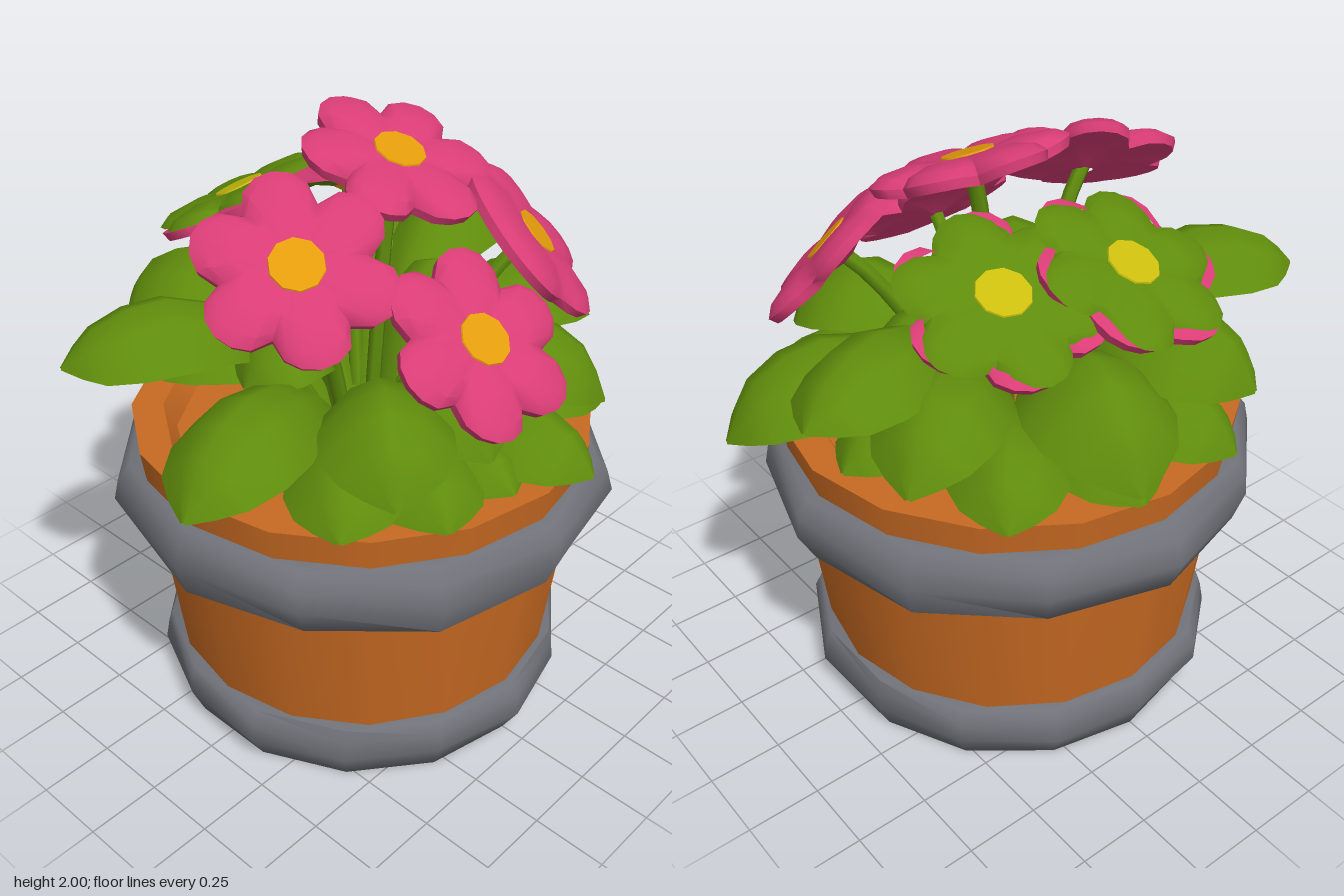
import * as THREE from 'three';
import { toCreasedNormals } from 'three/addons/utils/BufferGeometryUtils.js';

const mat = (name, color, side = THREE.FrontSide) => {
  const m = new THREE.MeshStandardMaterial({ color, side });
  m.name = name;
  return m;
};

// Lathe from [radius, y] pairs, with a rule that moves each vertex
function lathe(points, segments, crease, rule) {
  const geo = new THREE.LatheGeometry(points.map(([r, y]) => new THREE.Vector2(r, y)), segments);
  if (rule) {
    const p = geo.attributes.position;
    const v = new THREE.Vector3();
    for (let i = 0; i < p.count; i++) {
      v.fromBufferAttribute(p, i);
      rule(v, Math.atan2(v.x, v.z), Math.hypot(v.x, v.z));
      p.setXYZ(i, v.x, v.y, v.z);
    }
  }
  return toCreasedNormals(geo, crease);
}

// Arched leaf: a midrib curve with a strongly drooping cross-section
function leafGeometry([tx, ty, tz, peak, half]) {
  const reach = Math.hypot(tx, tz);
  const dir = new THREE.Vector3(tx / reach, 0, tz / reach);
  const side = new THREE.Vector3(-dir.z, 0, dir.x);
  const at = (r, y) => dir.clone().multiplyScalar(r).setY(y);
  const rib = new THREE.CatmullRomCurve3([
    at(0.08, 0.97), at(reach * 0.36, 0.97 + (peak - 0.97) * 0.76), at(reach * 0.65, peak),
    at(reach * 0.89, ty + (peak - ty) * 0.66), at(reach, ty),
  ]);
  const widths = [0.2, 0.28, 0.5, 0.82, 1, 0.96, 0.74, 0.42, 0.04];
  const rows = widths.length - 1, cols = 4;
  const pos = [], idx = [];
  for (let i = 0; i <= rows; i++) {
    const c = rib.getPoint(i / rows);
    for (let j = 0; j <= cols; j++) {
      const s = (j / cols) * 2 - 1;
      const w = s * half * widths[i];
      pos.push(c.x + side.x * w, c.y - 0.75 * Math.abs(w * s), c.z + side.z * w);
      if (i < rows && j < cols) {
        const a = i * (cols + 1) + j, b = a + cols + 1;
        idx.push(a, a + 1, b, a + 1, b + 1, b);
      }
    }
  }
  const geo = new THREE.BufferGeometry();
  geo.setAttribute('position', new THREE.Float32BufferAttribute(pos, 3));
  geo.setIndex(idx);
  geo.computeVertexNormals();
  return geo;
}

export function createModel() {
  const model = new THREE.Group();
  model.name = 'pottedFlowers';
  const clay = mat('terracotta', 0xc86a22);
  const grey = mat('grey', 0x707279);
  const green = mat('leafGreen', 0x5f8c0c, THREE.DoubleSide);
  const pink = mat('petalPink', 0xd93d75);
  const orange = mat('centreOrange', 0xe39c0c);
  const yellow = mat('centreYellow', 0xccbd0e);

  const add = (parent, name, geo, material) => {
    const m = new THREE.Mesh(geo, material);
    m.name = name;
    parent.add(m);
    return m;
  };

  // Pot with thick rim and soil floor
  add(model, 'pot', lathe([[0.001, 0.03], [0.63, 0.03], [0.66, 0.22], [0.72, 0.72], [0.765, 1.055],
    [0.66, 1.055], [0.62, 0.97], [0.001, 0.97]], 16, 0.6), clay);

  // Slightly lumpy bands
  const lumpy = (v, a, r) => {
    const k = r > 0.7 ? 1 + 0.012 * Math.sin(5 * a + 14 * v.y) : 1;
    v.x *= k;
    v.z *= k;
  };
  add(model, 'upperBand', lathe([[0.69, 0.72], [0.79, 0.72], [0.835, 0.83], [0.82, 0.9],
    [0.785, 0.95], [0.69, 0.95]], 12, 1.2, lumpy), grey);
  add(model, 'saucer', lathe([[0.001, 0.01], [0.665, 0.01], [0.715, 0.11], [0.71, 0.18],
    [0.69, 0.225], [0.6, 0.225]], 14, 1.3, lumpy), grey);

  // Leaves: tip x, y, z, peak height, half width
  const leaves = [
    // tall outer leaves
    [-0.94, 1.17, 0.2, 1.4, 0.21], [-0.88, 1.4, -0.4, 1.56, 0.2],
    [0.94, 1.13, 0.2, 1.4, 0.22], [0.92, 1.4, -0.26, 1.56, 0.2],
    [-0.32, 1.3, -0.78, 1.52, 0.23], [0.2, 1.19, -0.85, 1.48, 0.23],
    [0.74, 1.22, -0.48, 1.46, 0.2], [0.4, 1.17, 0.68, 1.43, 0.21],
    [-0.5, 1.17, 0.6, 1.41, 0.21], [-0.1, 1.15, 0.62, 1.36, 0.18],
    // short inner leaves
    [0.5, 1.3, 0.02, 1.46, 0.16], [-0.48, 1.3, -0.04, 1.46, 0.16],
    // low leaves bending over the rim
    [-0.63, 1.08, 0.5, 1.25, 0.19], [-0.36, 1.06, 0.68, 1.23, 0.19],
    [0.17, 1.05, 0.81, 1.23, 0.19], [0.57, 1.05, 0.57, 1.24, 0.19],
    [-0.08, 1.06, 0.7, 1.19, 0.16], [-0.68, 1.08, -0.1, 1.23, 0.15],
    [-0.3, 1.06, -0.75, 1.26, 0.2], [0.5, 1.06, -0.62, 1.25, 0.19],
    [0.1, 1.06, -0.76, 1.22, 0.18], [0.72, 1.08, -0.1, 1.24, 0.17],
  ];
  leaves.forEach((l) => add(model, 'leaf', leafGeometry(l), green));

  // Flowers: centre, facing direction, petal count, spin, back-row flag
  const flowers = [
    [[-0.42, 1.75, 0.14], [-0.36, 0.75, 0.5], 6, 0.52, false],
    [[0.13, 1.9, 0.03], [0.03, 0.92, 0.36], 6, 0, false],
    [[0.46, 1.61, 0.32], [0.48, 0.66, 0.56], 5, 0.89, false],
    [[-0.08, 1.53, 0.55], [-0.03, 0.74, 0.66], 6, 0.52, false],
    [[-0.06, 1.69, -0.49], [-0.12, 0.9, -0.45], 6, 0.5, true],
    [[0.34, 1.69, -0.4], [0.12, 0.9, -0.42], 6, 0.2, true],
  ];
  const R = 0.31;
  flowers.forEach(([c, n, count, spin, back]) => {
    const centre = new THREE.Vector3(...c);
    const normal = new THREE.Vector3(...n).normalize();
    const flower = new THREE.Group();
    flower.name = 'flower';
    flower.position.copy(centre);
    flower.quaternion.setFromUnitVectors(new THREE.Vector3(0, 1, 0), normal);
    model.add(flower);

    // Broad petals with sharp notches and shallow valleys between them
    const part = (name, profile, material, turn) =>
      add(flower, name, lathe(profile, count * 6, 0.8, (v, a, r) => {
        const t = Math.min(1, r / R);
        const lobe = Math.pow(Math.abs(Math.cos(count * (a + turn) / 2)), 0.6);
        const k = 1 - 0.3 * (1 - lobe) * t;
        v.x *= k;
        v.z *= k;
        v.y -= 0.022 * (1 - lobe) * t;
      }), material);
    // the back row has a pink layer turned slightly under the green one
    const under = back ? spin + 0.15 : spin;
    part('petalUndersides', [[0.03, -0.08], [R * 0.5, -0.045], [R * 0.85, -0.045]],
      back ? green : pink, under);
    part('petalRims', [[R * 0.85, -0.045], [R * 0.97, -0.045], [R, -0.015], [R * 0.85, -0.008]],
      pink, under);
    part('petalTops', [[R, -0.015], [R * 0.87, 0.008], [R * 0.55, 0.018], [R * 0.27, 0.004],
      [0.001, 0.004]], back ? green : pink, spin);
    const disc = add(flower, 'flowerCentre', new THREE.CylinderGeometry(0.083, 0.085, 0.005, 10),
      back ? yellow : orange);
    disc.position.y = 0.011;
    if (back) {
      const calyx = add(flower, 'calyx', new THREE.CylinderGeometry(0.085, 0.03, 0.04, 10), orange);
      calyx.position.y = -0.075;
    }

    // Stem curving out of the soil
    const end = centre.clone().addScaledVector(normal, -0.06);
    const start = new THREE.Vector3(c[0] * 0.25, 0.96, c[2] * 0.25);
    const bend = new THREE.Vector3(c[0] * 0.6, end.y - 0.15, c[2] * 0.6);
    add(model, 'stem', new THREE.TubeGeometry(
      new THREE.QuadraticBezierCurve3(start, bend, end), 8, 0.026, 6), green);
  });

  return model;
}
